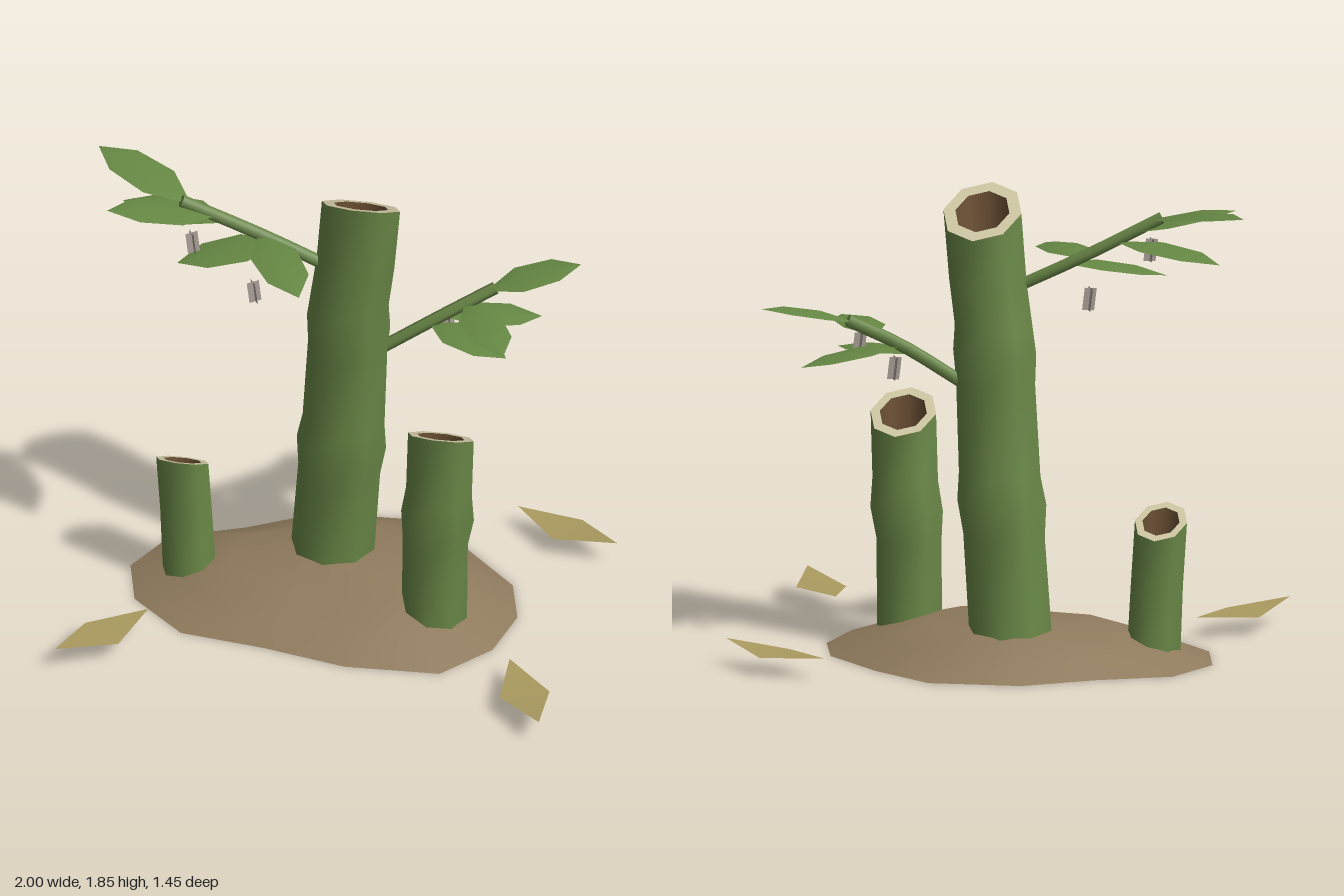
import * as THREE from 'three';

const mat = (name, color, side = THREE.FrontSide) => {
  const m = new THREE.MeshStandardMaterial({ color, side });
  m.name = name;
  return m;
};

const SIDES = 8;
const CUT = 0.53; // slope of the slanted cuts, high at the front

// Ring of points round a centre; slope tilts the ring along z
function ring([x, y, z, r], slope = 0) {
  const pts = [];
  for (let i = 0; i < SIDES; i++) {
    const a = (i / SIDES) * Math.PI * 2;
    const dz = Math.cos(a) * r;
    pts.push([x + Math.sin(a) * r, y + dz * slope, z + dz]);
  }
  return pts;
}

// Closed rings joined by a smooth skin
function loft(rings) {
  const n = rings[0].length, idx = [];
  for (let j = 0; j < rings.length - 1; j++) {
    for (let i = 0; i < n; i++) {
      const a = j * n + i, b = j * n + (i + 1) % n;
      idx.push(a, b, b + n, a, b + n, a + n);
    }
  }
  const g = new THREE.BufferGeometry();
  g.setAttribute('position', new THREE.Float32BufferAttribute(rings.flat(2), 3));
  g.setIndex(idx);
  g.computeVertexNormals();
  return g;
}

export function createModel() {
  const model = new THREE.Group();
  model.name = 'bambooCluster';

  const stalkGreen = mat('stalk green', 0x6a8847, THREE.DoubleSide);
  const leafGreen = mat('leaf green', 0x668844, THREE.DoubleSide);
  const rimCream = mat('cut rim cream', 0xd0c8a4, THREE.DoubleSide);
  const hollowBrown = mat('hollow brown', 0x6e5236, THREE.DoubleSide);
  const soilBrown = mat('soil brown', 0x907b5d, THREE.DoubleSide);
  const dryTan = mat('dry leaf tan', 0xab9b60, THREE.DoubleSide);
  const budGrey = mat('bud grey', 0xa9a097, THREE.DoubleSide);

  const add = (name, geometry, material, parent = model) => {
    const m = new THREE.Mesh(geometry, material);
    m.name = name;
    parent.add(m);
    return m;
  };

  // Soil mound: an open shell
  const outline = [
    [-0.2, -0.63], [0.16, -0.67], [0.41, -0.52], [0.64, -0.32], [0.71, -0.11],
    [0.67, 0.13], [0.51, 0.34], [0.14, 0.38], [-0.19, 0.33], [-0.53, 0.305],
    [-0.76, 0.12], [-0.83, -0.1], [-0.73, -0.33], [-0.46, -0.46],
  ].reverse();
  const moundRing = ([s, y]) => outline.map(([x, z]) => [-0.06 + (x + 0.06) * s, y, -0.14 + (z + 0.14) * s]);
  add('soilMound', loft([[1, 0], [0.75, 0.07], [0.5, 0.128], [0.001, 0.147]].map(moundRing)), soilBrown);

  // Hollow stalks: sections are [x, y, z, radius], the last one is cut at a slant
  function stalk(name, sections, wall) {
    const g = new THREE.Group();
    g.name = name;
    model.add(g);
    const last = sections.length - 1;
    const slope = (i) => (i === last ? CUT : 0);
    const inner = sections.map(([x, y, z, r]) => [x, y, z, r - wall]);
    const outerRings = sections.map((s, i) => ring(s, slope(i)));
    const innerRings = inner.map((s, i) => ring(s, slope(i)));
    add(name + 'Wall', loft(outerRings), stalkGreen, g);
    add(name + 'Hollow', loft([...innerRings].reverse()), hollowBrown, g);
    add(name + 'CutRim', loft([outerRings[last], innerRings[last]]), rimCream, g);
    add(name + 'BottomRim', loft([innerRings[0], outerRings[0]]), stalkGreen, g);
    // Floor closing the hollow
    const [x, y, z, r] = inner[0];
    const floor = add(name + 'Floor', new THREE.CircleGeometry(r, SIDES), hollowBrown, g);
    floor.rotation.x = -Math.PI / 2;
    floor.position.set(x, y + 0.03, z);
  }
  stalk('tallStalk', [
    [-0.065, 0.04, -0.245, 0.166], [-0.03, 0.5, -0.23, 0.163], [-0.02, 0.63, -0.225, 0.178],
    [-0.01, 0.74, -0.22, 0.163], [0.01, 1.1, -0.205, 0.158], [0.015, 1.22, -0.2, 0.166],
    [0.02, 1.32, -0.195, 0.156], [0.045, 1.5, -0.19, 0.155], [0.068, 1.77, -0.185, 0.156],
  ], 0.048);
  stalk('middleStalk', [
    [0.41, 0.02, 0.015, 0.13], [0.415, 0.4, 0.022, 0.13], [0.425, 0.52, 0.025, 0.145],
    [0.432, 0.64, 0.03, 0.131], [0.442, 0.9, 0.04, 0.131],
  ], 0.037);
  stalk('shortStalk', [
    [-0.588, 0.02, -0.075, 0.107], [-0.6, 0.3, -0.07, 0.104], [-0.615, 0.55, -0.065, 0.104],
  ], 0.03);

  // Side branches
  function branch(name, points) {
    const curve = new THREE.CatmullRomCurve3(points.map((p) => new THREE.Vector3(...p)));
    add(name, new THREE.TubeGeometry(curve, 6, 0.025, 6), stalkGreen);
    const end = add(name + 'Tip', new THREE.CircleGeometry(0.025, 6), stalkGreen);
    end.position.copy(curve.getPoint(1));
    end.lookAt(curve.getPoint(1).add(curve.getTangent(1)));
  }
  branch('rightBranch', [[-0.05, 1.47, -0.18], [-0.315, 1.6, -0.145], [-0.62, 1.76, -0.07]]);
  branch('leftBranch', [[0.13, 1.09, -0.22], [0.36, 1.24, -0.28], [0.56, 1.35, -0.365]]);

  // Leaf blade from base to tip, arched and folded along its rib
  function leaf(name, base, tip, width) {
    const a = new THREE.Vector3(...base), b = new THREE.Vector3(...tip);
    const across = b.clone().sub(a).cross(new THREE.Vector3(0, 1, 0)).normalize();
    const pos = [];
    for (const [t, w, lift] of [[0, 0.12, 0], [0.32, 0.95, 0.022], [0.72, 0.85, 0.02], [1, 0, 0]]) {
      for (const s of [-1, 0, 1]) {
        const p = a.clone().lerp(b, t).addScaledVector(across, s * w * width);
        pos.push(p.x, p.y + lift - Math.abs(s) * w * 0.015, p.z);
      }
    }
    const idx = [];
    for (let j = 0; j < 3; j++) {
      for (let i = 0; i < 2; i++) {
        const k = j * 3 + i;
        idx.push(k, k + 1, k + 4, k, k + 4, k + 3);
      }
    }
    const g = new THREE.BufferGeometry();
    g.setAttribute('position', new THREE.Float32BufferAttribute(pos, 3));
    g.setIndex(idx);
    g.computeVertexNormals();
    add(name, g, leafGreen);
  }
  [
    [[-0.6, 1.755, -0.08], [-1, 1.82, -0.275]],
    [[-0.5, 1.7, -0.09], [-0.88, 1.77, 0.08]],
    [[-0.46, 1.665, -0.11], [-0.89, 1.62, -0.22]],
    [[-0.32, 1.6, -0.14], [-0.085, 1.57, 0.2]],
    [[-0.26, 1.575, -0.14], [-0.62, 1.515, 0]],
  ].forEach(([p, q], i) => leaf('rightLeaf' + (i + 1), p, q, 0.1));
  [
    [[0.54, 1.345, -0.355], [0.865, 1.41, -0.515]],
    [[0.46, 1.29, -0.32], [0.68, 1.285, 0]],
    [[0.38, 1.24, -0.29], [0.72, 1.175, -0.47]],
    [[0.33, 1.21, -0.27], [0.66, 1.19, -0.13]],
  ].forEach(([p, q], i) => leaf('leftLeaf' + (i + 1), p, q, 0.09));

  // Small hanging buds: two crossed plates
  [[-0.56, 1.615, -0.01], [-0.32, 1.41, -0.03], [0.38, 1.165, -0.34], [0.545, 1.23, -0.24]].forEach((p, i) => {
    const bud = new THREE.Group();
    bud.name = 'bud' + (i + 1);
    for (const turn of [0.6, 0.6 + Math.PI / 2]) {
      add('budPlate', new THREE.PlaneGeometry(0.05, 0.09), budGrey, bud).rotation.y = turn;
    }
    bud.position.set(...p);
    bud.rotation.z = 0.12;
    model.add(bud);
  });

  // Dry fallen leaves: diamonds with raised tips
  [
    [[-0.94, 0.68], [-0.88, 0.43], [-0.66, 0.3], [-0.72, 0.545]],
    [[1, 0.72], [0.8, 0.545], [0.78, 0.3], [0.98, 0.465]],
    [[1, -0.55], [0.82, -0.72], [0.56, -0.73], [0.74, -0.56]],
  ].forEach((c, i) => {
    const heights = [0.104, 0.072, 0.088, 0.076];
    const g = new THREE.BufferGeometry();
    g.setAttribute('position', new THREE.Float32BufferAttribute(c.flatMap(([x, z], k) => [x, heights[k], z]), 3));
    g.setIndex([0, 3, 1, 1, 3, 2]);
    g.computeVertexNormals();
    // Keep the front face upward
    if (g.attributes.normal.getY(0) < 0) {
      g.setIndex([0, 1, 3, 1, 2, 3]);
      g.computeVertexNormals();
    }
    add('dryLeaf' + (i + 1), g, dryTan);
  });

  return model;
}
